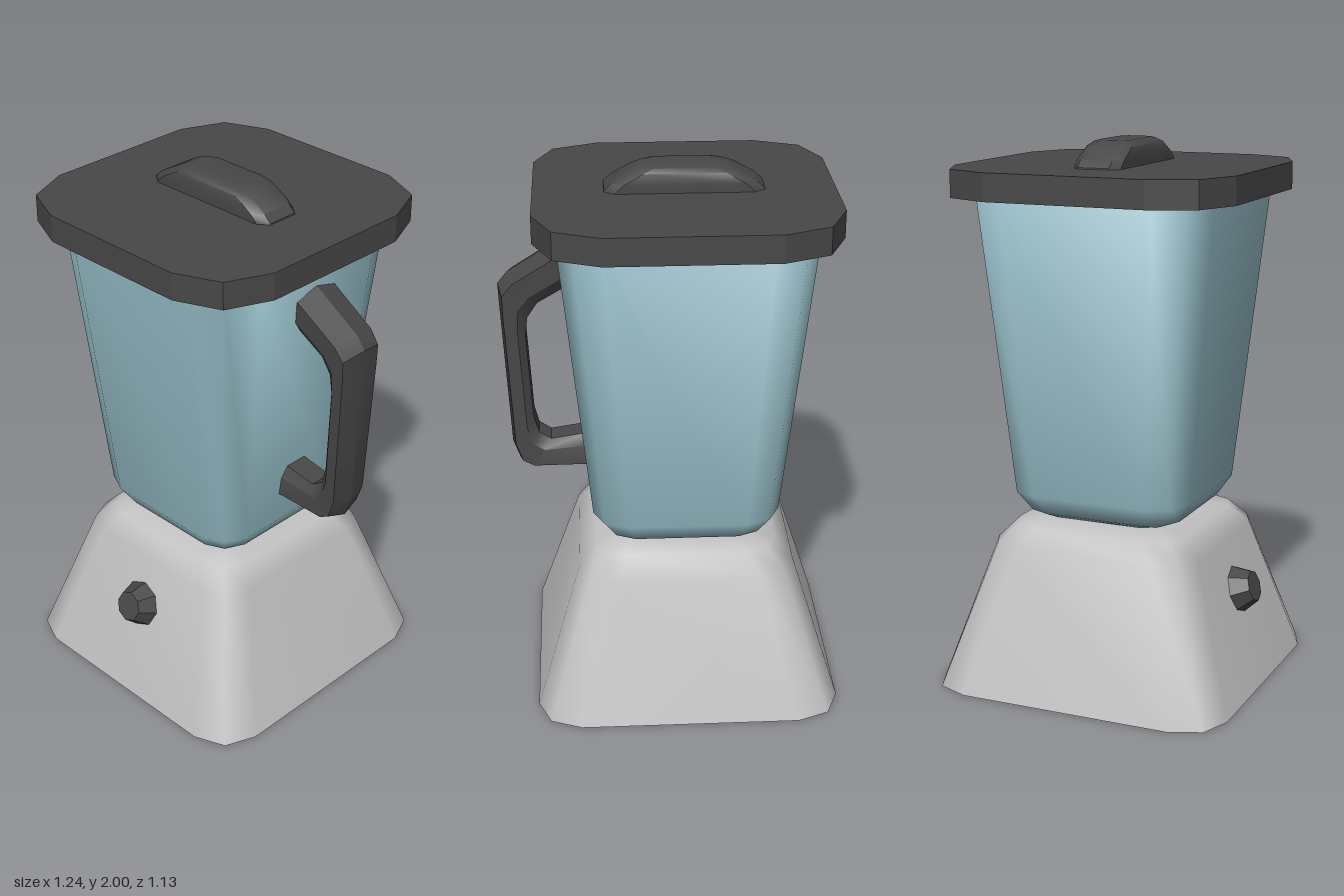
import * as THREE from 'three';
import { toCreasedNormals } from 'three/addons/utils/BufferGeometryUtils.js';

// Skin over a stack of equal-length rings, with fan caps at both ends
function loft(rings, crease) {
  const n = rings[0].length, pos = [], idx = [];
  for (const r of rings) for (const p of r) pos.push(...p);
  for (let i = 0; i < rings.length - 1; i++) {
    for (let j = 0; j < n; j++) {
      const k = (j + 1) % n;
      const a = i * n + j, b = i * n + k, c = b + n, d = a + n;
      idx.push(a, d, c, a, c, b);
    }
  }
  const last = (rings.length - 1) * n;
  for (let j = 1; j < n - 1; j++) {
    idx.push(0, j, j + 1);
    idx.push(last, last + j + 1, last + j);
  }
  const g = new THREE.BufferGeometry();
  g.setAttribute('position', new THREE.Float32BufferAttribute(pos, 3));
  g.setIndex(idx);
  if (crease) return toCreasedNormals(g, crease);
  g.computeVertexNormals();
  return g;
}

// Square ring with two-step corners: h half width, f half flat, d corner point
function squareRing([y, h, f, d]) {
  const pts = [];
  for (let q = 0; q < 4; q++) {
    const c = [1, 0, -1, 0][q], s = [0, 1, 0, -1][q];
    for (const [x, z] of [[h, f], [d, d], [f, h]]) pts.push([x * c - z * s, y, x * s + z * c]);
  }
  return pts;
}

// Oblong ring with cut corners
function oblongRing([y, hx, hz, cx, cz]) {
  return [
    [hx, hz - cz], [hx - cx, hz], [cx - hx, hz], [-hx, hz - cz],
    [-hx, cz - hz], [cx - hx, -hz], [hx - cx, -hz], [hx, cz - hz],
  ].map(([x, z]) => [x, y, z]);
}

export function createModel() {
  const group = new THREE.Group();
  const grey = new THREE.MeshStandardMaterial({ color: 0xc2c2c2, side: THREE.DoubleSide });
  grey.name = 'lightGrey';
  const blue = new THREE.MeshStandardMaterial({ color: 0x8fb5bf });
  blue.name = 'jarBlue';
  const dark = new THREE.MeshStandardMaterial({ color: 0x484848 });
  dark.name = 'darkGrey';
  const cx = -0.055; // axis of the body
  const add = (name, geometry, material, x = cx) => {
    const m = new THREE.Mesh(geometry, material);
    m.name = name;
    m.position.x = x;
    group.add(m);
    return m;
  };

  // Hollow motor base, open underneath
  const base = loft([
    [0, 0.567, 0.405, 0.52], [0.53, 0.4, 0.27, 0.36],
    [0.6, 0.335, 0.22, 0.3], [0.622, 0.235, 0.15, 0.21],
  ].map(squareRing));
  base.setIndex(Array.from(base.index.array).filter((v, i, a) => {
    const t = i - (i % 3); // drop the bottom cap
    return !(a[t] < 12 && a[t + 1] < 12 && a[t + 2] < 12);
  }));
  base.computeVertexNormals();
  add('motorBase', base, grey);

  // Jar
  add('jar', loft([
    [0.622, 0.25, 0.16, 0.22], [0.645, 0.295, 0.19, 0.262],
    [0.72, 0.345, 0.22, 0.305], [1.82, 0.457, 0.29, 0.4],
  ].map(squareRing)), blue);

  // Lid and its grip
  add('lid', loft([[1.81, 0.535, 0.3, 0.465], [1.91, 0.535, 0.3, 0.465]].map(squareRing), 0.4), dark);
  add('lidGrip', loft([
    [1.9, 0.285, 0.09, 0.04, 0.03], [1.915, 0.283, 0.09, 0.04, 0.03],
    [1.94, 0.255, 0.09, 0.04, 0.03], [1.98, 0.185, 0.087, 0.04, 0.03],
    [1.995, 0.15, 0.075, 0.04, 0.03], [2, 0.12, 0.06, 0.03, 0.02],
  ].map(oblongRing), 0.6), dark);

  // Side handle: outer x, y, inner x, y and half width, from bottom to top
  const stations = [
    [0.28, 0.825, 0.28, 0.97, 0.075], [0.52, 0.828, 0.44, 0.945, 0.075],
    [0.56, 0.85, 0.485, 0.975, 0.077], [0.585, 0.92, 0.502, 1.04, 0.079],
    [0.614, 1.48, 0.521, 1.37, 0.088], [0.617, 1.555, 0.512, 1.44, 0.09],
    [0.58, 1.6, 0.475, 1.497, 0.093], [0.36, 1.738, 0.35, 1.57, 0.095],
  ];
  const section = [[0, 0], [0.17, 1], [0.7, 0.95], [1, 0.6], [1, -0.6], [0.7, -0.95], [0.17, -1]];
  add('handle', loft(stations.map(([ox, oy, ix, iy, w]) =>
    section.map(([t, s]) => [ox + (ix - ox) * t, oy + (iy - oy) * t, s * w])), 0.5), dark, 0);

  // Control knob, square to the sloping front
  const knob = new THREE.CylinderGeometry(0.058, 0.09, 0.07, 8).toNonIndexed();
  knob.computeVertexNormals();
  const k = add('controlKnob', knob, dark);
  k.position.set(cx, 0.36, 0.487);
  k.rotation.x = Math.PI / 2 - 0.305;
  return group;
}
